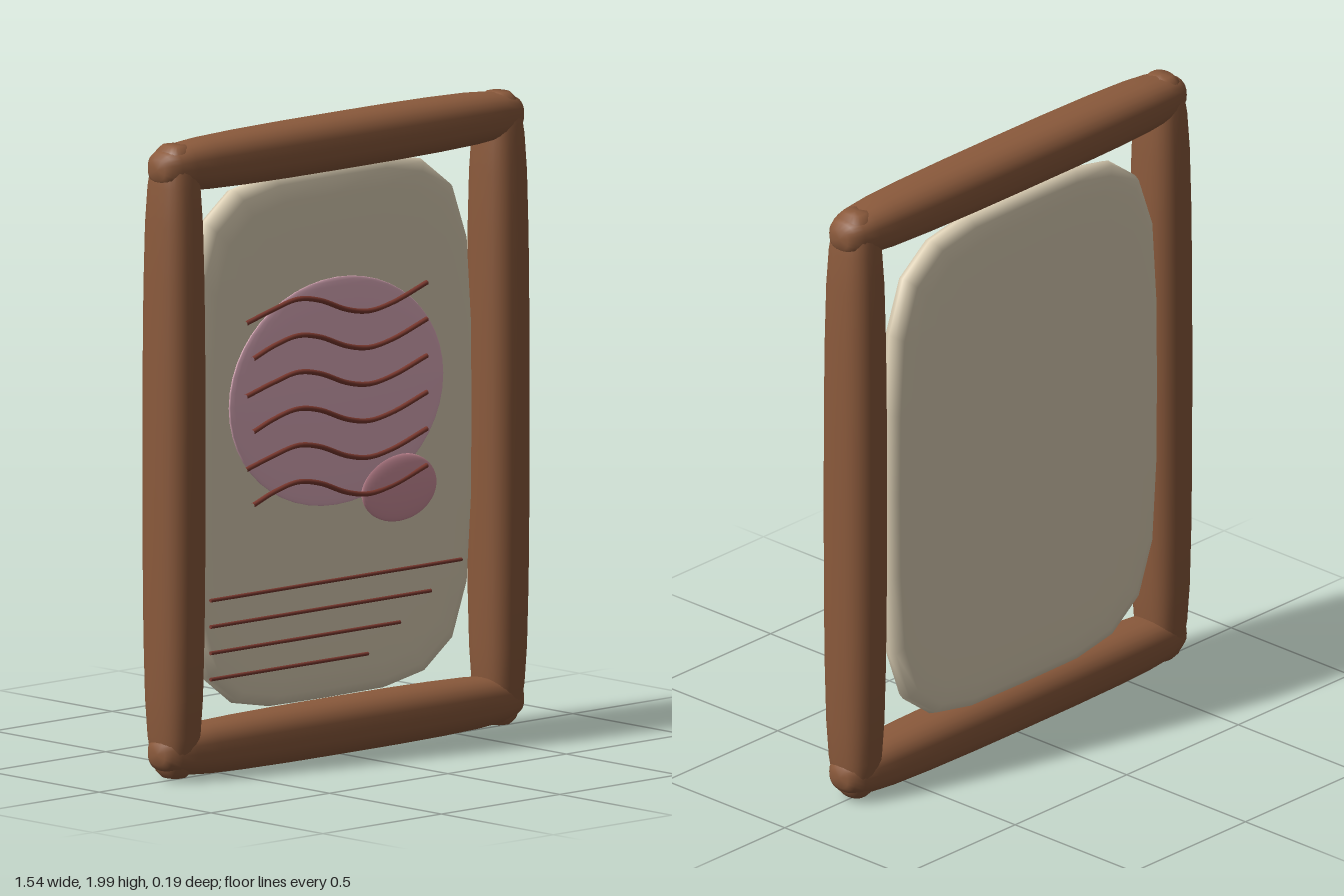
import * as THREE from 'three';

const mat = (color) => new THREE.MeshStandardMaterial({ color });

// Skin stacked cross-sections [z, scaleX, scaleY] of one counter-clockwise outline, closed at both ends
function loft(outline, sections) {
  const pos = [], idx = [], n = outline.length, last = sections.length - 1;
  for (const [z, sx, sy] of sections)
    for (const [x, y] of outline) pos.push(x * sx, y * sy, z);
  for (let r = 0; r < last; r++)
    for (let i = 0; i < n; i++) {
      const a = r * n + i, b = r * n + (i + 1) % n;
      idx.push(a, b, b + n, a, b + n, a + n);
    }
  const c = pos.length / 3;
  pos.push(0, 0, sections[0][0], 0, 0, sections[last][0]);
  for (let i = 0; i < n; i++) {
    const j = (i + 1) % n;
    idx.push(c, j, i, c + 1, last * n + i, last * n + j);
  }
  const g = new THREE.BufferGeometry();
  g.setAttribute('position', new THREE.Float32BufferAttribute(pos, 3));
  g.setIndex(idx);
  g.computeVertexNormals();
  return g;
}

// Soft bar along z: rounded-square section, swelling in the middle and ending in small nubs
function beamGeometry(halfX, halfY, halfLength) {
  const outline = [];
  for (let i = 0; i < 24; i++) {
    const a = (i / 24) * Math.PI * 2;
    const bend = (v) => Math.sign(v) * Math.abs(v) ** 0.8;
    outline.push([halfX * bend(Math.cos(a)), halfY * bend(Math.sin(a))]);
  }
  const half = [[0, 1], [0.3, 0.995], [0.55, 0.97], [0.75, 0.92], [0.87, 0.84], [0.94, 0.73], [0.98, 0.58], [1, 0.38]];
  const all = [...half.slice(1).reverse().map(([t, s]) => [-t, s]), ...half];
  return loft(outline, all.map(([t, s]) => [t * halfLength, s, s]));
}

// Pillow-like slab with a faceted, rounded-rectangle outline
function panelGeometry() {
  const q = [[0.603, 0], [0.6, 0.28], [0.582, 0.54], [0.52, 0.71], [0.4, 0.8], [0.24, 0.83]];
  const top = [...q, [0, 0.832], ...q.slice(1).reverse().map(([x, y]) => [-x, y])];
  const outline = [...top, ...top.map(([x, y]) => [-x, -y])];
  const half = [[0, 0], [0.022, 0.008], [0.034, 0.035], [0.039, 0.09], [0.04, 0.2]];
  const all = [...half.slice(1).reverse().map(([z, i]) => [-z, i]), ...half];
  return loft(outline, all.map(([z, inset]) => [z, 1 - inset / 0.6, 1 - inset / 0.83]));
}

export function createModel() {
  const model = new THREE.Group();
  const wood = mat(0x8b5a3c), ink = mat(0x7c3a30);

  const add = (parent, name, geometry, material, x, y, z) => {
    const mesh = new THREE.Mesh(geometry, material);
    mesh.name = name;
    mesh.position.set(x, y, z);
    parent.add(mesh);
    return mesh;
  };

  // Frame
  const frame = new THREE.Group();
  frame.name = 'frame';
  model.add(frame);
  const post = beamGeometry(0.085, 0.096, 0.985).rotateX(-Math.PI / 2);
  const rail = beamGeometry(0.096, 0.086, 0.757).rotateY(Math.PI / 2);
  add(frame, 'leftPost', post, wood, 0.684, 1, 0);
  add(frame, 'rightPost', post, wood, -0.684, 1, 0);
  add(frame, 'topRail', rail, wood, 0, 1.914, 0);
  add(frame, 'bottomRail', rail, wood, 0, 0.092, 0);

  // Panel set slightly behind the middle of the frame
  add(model, 'panel', panelGeometry(), mat(0xe0d3b8), 0, 1.005, -0.046);

  // Flattened pink shapes
  const ball = new THREE.SphereGeometry(1, 40, 24);
  add(model, 'largeOval', ball, mat(0xe3b0c0), 0, 1.135, 0).scale.set(0.453, 0.355, 0.018);
  add(model, 'smallOval', ball, mat(0xd2929f), 0.26, 0.803, 0.006).scale.set(0.158, 0.105, 0.018);

  // Wavy strands across the ovals
  const waves = new THREE.Group();
  waves.name = 'wavyStrands';
  model.add(waves);
  for (let i = 0; i < 6; i++) {
    const left = i % 2 ? -0.37 : -0.4;
    const path = new THREE.CatmullRomCurve3([
      [left, 0], [-0.28, 0.031], [-0.18, 0.05], [-0.09, 0.036], [0.03, -0.008],
      [0.12, -0.023], [0.22, -0.009], [0.365, 0.036],
    ].map(([x, y]) => new THREE.Vector3(x, y, 0)));
    add(waves, 'wavyStrand', new THREE.TubeGeometry(path, 48, 0.008, 8), ink, 0, 1.395 - i * 0.114, 0.02);
  }

  // Straight strands below, getting shorter downwards
  const lines = new THREE.Group();
  lines.name = 'straightStrands';
  model.add(lines);
  [1.06, 0.93, 0.8, 0.665].forEach((length, i) => {
    const bar = new THREE.CylinderGeometry(0.006, 0.006, length, 8).rotateZ(Math.PI / 2);
    add(lines, 'straightStrand', bar, ink, -0.53 + length / 2, 0.545 - i * 0.082, 0);
  });

  return model;
}
